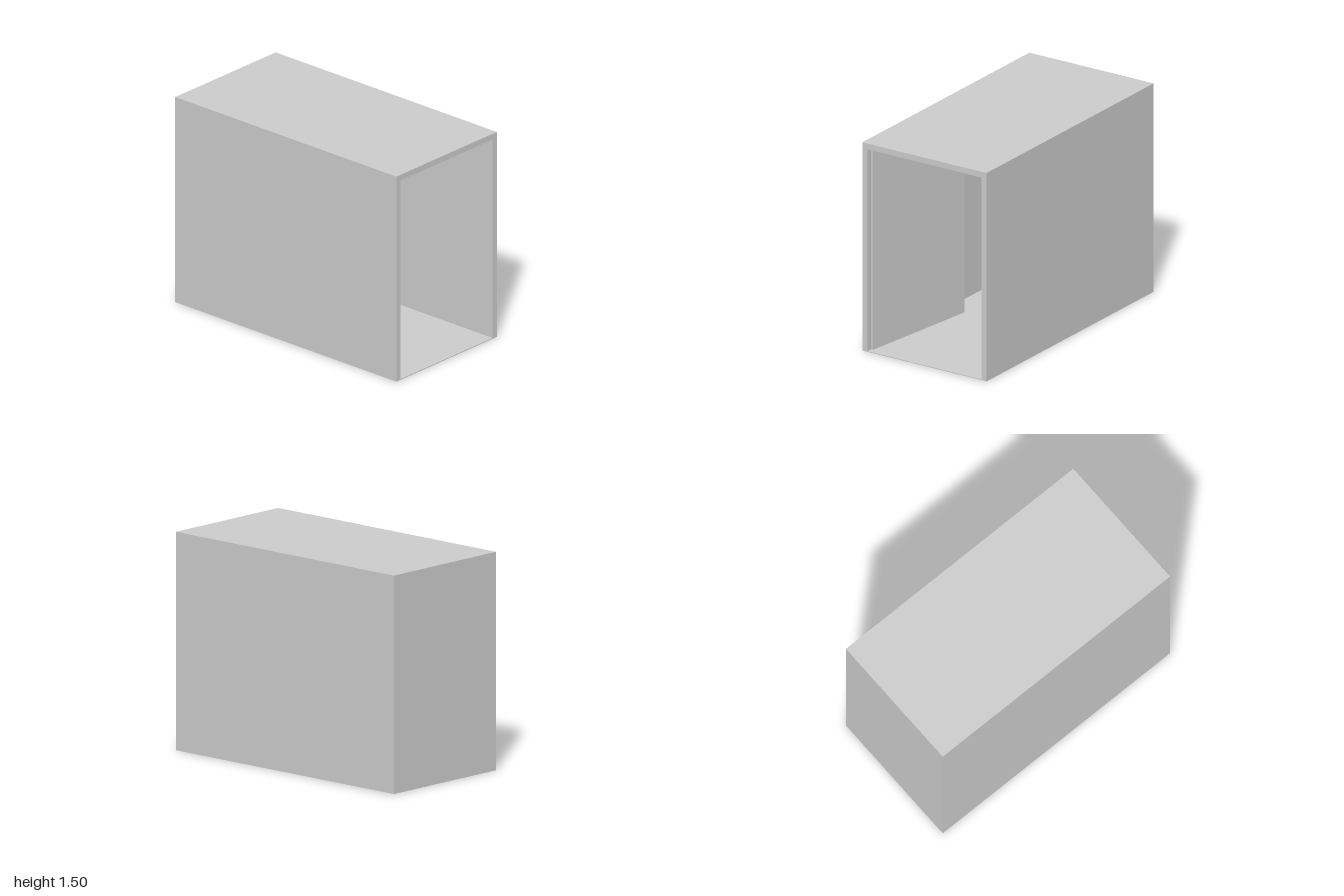
import * as THREE from 'three';

const W = 1.01, H = 1.505, D = 2;          // outer shell
const T = 0.042, FLOOR = 0.006;            // wall thickness, floor height

const material = new THREE.MeshStandardMaterial({ color: 0xcccccc, flatShading: true, side: THREE.DoubleSide });

function part(name, geometry) {
  const mesh = new THREE.Mesh(geometry, material);
  mesh.name = name;
  return mesh;
}

// Box without some sides (0 +x, 1 -x, 2 +y, 3 -y, 4 +z, 5 -z); inward turns its faces to the inside
function openBox(w, h, d, missing, inward = false) {
  const geometry = new THREE.BoxGeometry(w, h, d);
  const index = Array.from(geometry.index.array).filter((_, i) => !missing.includes(Math.floor(i / 6)));
  if (inward) {
    index.reverse();
    const normal = geometry.attributes.normal;
    for (let i = 0; i < normal.array.length; i++) normal.array[i] *= -1;
  }
  geometry.setIndex(index);
  geometry.clearGroups();
  return geometry;
}

export function createModel() {
  const model = new THREE.Group();
  model.name = 'cabinet';

  // Outer shell, open at the front and underneath
  const shell = part('outerShell', openBox(W, H, D, [3, 4]));
  shell.position.y = H / 2;
  model.add(shell);

  // Compartment lining with floor, open at the front
  const innerW = W - 2 * T, innerTop = H - T, innerD = D - T;
  const lining = part('compartmentLining', openBox(innerW, innerTop - FLOOR, innerD, [4], true));
  lining.position.set(0, (innerTop + FLOOR) / 2, T / 2);
  model.add(lining);

  // Front rim joining shell and lining
  const rimShape = new THREE.Shape([
    new THREE.Vector2(-W / 2, 0), new THREE.Vector2(W / 2, 0),
    new THREE.Vector2(W / 2, H), new THREE.Vector2(-W / 2, H),
  ]);
  rimShape.holes.push(new THREE.Path([
    new THREE.Vector2(-innerW / 2, FLOOR), new THREE.Vector2(-innerW / 2, innerTop),
    new THREE.Vector2(innerW / 2, innerTop), new THREE.Vector2(innerW / 2, FLOOR),
  ]));
  const rim = part('frontRim', new THREE.ShapeGeometry(rimShape));
  rim.position.z = D / 2;
  model.add(rim);

  // Door folded inside, slightly angled away from the side wall
  const start = new THREE.Vector2(-0.445, 0.96), end = new THREE.Vector2(-0.325, 0.04);
  const thickness = 0.021, length = start.distanceTo(end);
  const door = part('door', new THREE.BoxGeometry(thickness, innerTop, length).translate(-thickness / 2, 0, 0));
  door.position.set((start.x + end.x) / 2, innerTop / 2, (start.y + end.y) / 2);
  door.rotation.y = Math.atan2(start.x - end.x, start.y - end.y);
  model.add(door);

  return model;
}
